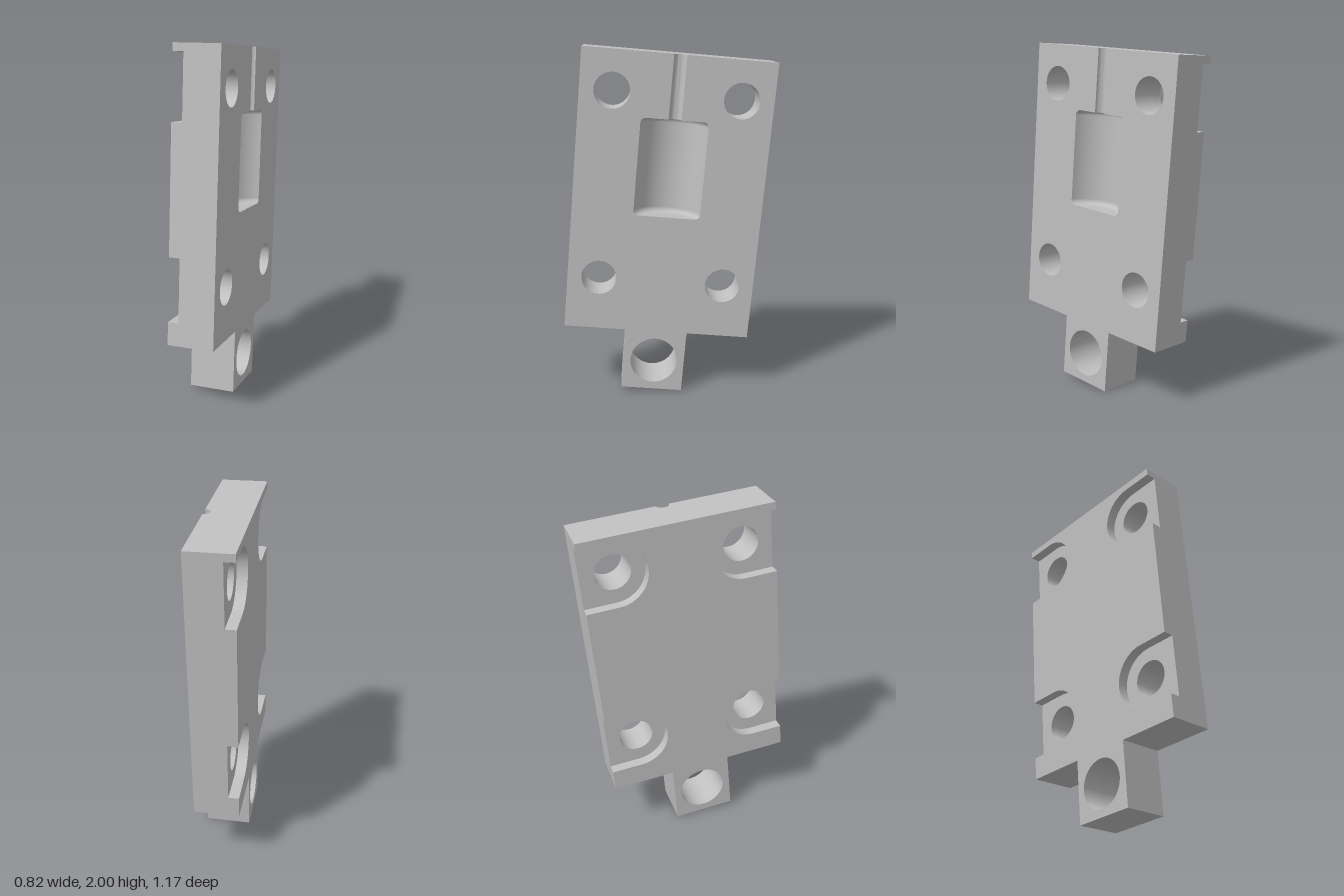
import * as THREE from 'three';
import { toCreasedNormals } from 'three/addons/utils/BufferGeometryUtils.js';

const W = 0.532, H = 0.792;              // plate half width and half height
const TAB = 0.177, TAB_END = -1.153;     // tab half width and lower end
const FRONT = 0.13, BACK = -0.13;        // plate faces
const RECESS = -0.07, POCKET_BASE = -0.02;
const HOLE_X = 0.354, HOLE_Y = [-0.487, 0.572];
const HOLE_R = 0.099, SEAT_R = 0.177;
const GROOVE = 0.036;                    // groove radius
const R = 0.196, OFF = 0.056, FILLET = 0.03, P_TOP = 0.44, P_LOW = -0.108;

// Pocket profile: radius and height, with rounded ends
function pocketProfile() {
  const pts = [];
  const n = 6;
  for (let i = 0; i <= n; i++) {
    const a = (i / n) * Math.PI / 2;
    pts.push([R - FILLET + FILLET * Math.sin(a), P_TOP - FILLET + FILLET * Math.cos(a)]);
  }
  for (let i = 0; i <= n; i++) {
    const a = (i / n) * Math.PI / 2;
    pts.push([R - FILLET + FILLET * Math.cos(a), P_LOW + FILLET - FILLET * Math.sin(a)]);
  }
  return pts;
}

// Plate and tab outline, optionally with side seats or the top pocket opening
function outline({ seats = false, pocket = false, holes = true }) {
  const s = new THREE.Shape();
  s.moveTo(-TAB, TAB_END);
  s.lineTo(TAB, TAB_END);
  s.lineTo(TAB, -H);
  s.lineTo(W, -H);
  if (seats) {
    for (const y of HOLE_Y) {
      s.lineTo(W, y - SEAT_R);
      s.lineTo(HOLE_X, y - SEAT_R);
      s.absarc(HOLE_X, y, SEAT_R, -Math.PI / 2, -Math.PI * 1.5, true);
      s.lineTo(W, y + SEAT_R);
    }
  }
  s.lineTo(W, H);
  if (pocket) {
    const edge = pocketProfile().map(([r, y]) => [Math.sqrt(r * r - OFF * OFF), y]);
    s.lineTo(GROOVE, H);
    s.lineTo(GROOVE, P_TOP);
    edge.forEach(([x, y]) => s.lineTo(x, y));
    edge.reverse().forEach(([x, y]) => s.lineTo(-x, y));
    s.lineTo(-GROOVE, P_TOP);
    s.lineTo(-GROOVE, H);
  }
  s.lineTo(-W, H);
  if (seats) {
    for (const y of [...HOLE_Y].reverse()) {
      s.lineTo(-W, y + SEAT_R);
      s.lineTo(-HOLE_X, y + SEAT_R);
      s.absarc(-HOLE_X, y, SEAT_R, Math.PI / 2, -Math.PI / 2, true);
      s.lineTo(-W, y - SEAT_R);
    }
  }
  s.lineTo(-W, -H);
  s.lineTo(-TAB, -H);
  s.closePath();

  const addHole = (x, y, r) => {
    const p = new THREE.Path();
    p.absarc(x, y, r, 0, Math.PI * 2, true);
    s.holes.push(p);
  };
  addHole(0, -0.974, 0.136);
  if (holes) for (const y of HOLE_Y) for (const x of [-HOLE_X, HOLE_X]) addHole(x, y, HOLE_R);
  return s;
}

function extrude(shape, depth) {
  const g = new THREE.ExtrudeGeometry(shape, { depth, bevelEnabled: false, curveSegments: 24 });
  return toCreasedNormals(g, 0.5);
}

export function createModel() {
  const model = new THREE.Group();
  model.name = 'mountingPlate';
  const metal = new THREE.MeshStandardMaterial({ color: 0xc0c0c0 });
  metal.name = 'light grey metal';

  const body = new THREE.Group();
  body.name = 'tiltedBody';
  body.rotation.set(0, Math.PI / 3, -5 * Math.PI / 180, 'YXZ');
  body.position.y = 1.165;
  model.add(body);

  const add = (name, geometry) => {
    const m = new THREE.Mesh(geometry, metal);
    m.name = name;
    body.add(m);
    return m;
  };

  // Three layers of the plate, from back to front
  add('backLayerWithSeats', extrude(outline({ seats: true, holes: false }), RECESS - BACK))
    .position.z = BACK;
  add('middleLayer', extrude(outline({}), POCKET_BASE - RECESS)).position.z = RECESS;
  add('frontLayer', extrude(outline({ pocket: true }), FRONT - POCKET_BASE)).position.z = POCKET_BASE;

  // Round-bottomed groove running from the pocket to the top edge
  const g = new THREE.Shape();
  g.moveTo(-GROOVE, -FRONT);
  g.absarc(0, -FRONT, GROOVE, Math.PI, 0, true);
  g.lineTo(GROOVE, -POCKET_BASE);
  g.lineTo(-GROOVE, -POCKET_BASE);
  g.closePath();
  const groove = add('groove', extrude(g, H - P_TOP));
  groove.rotation.x = -Math.PI / 2;
  groove.position.y = P_TOP;

  // Concave pocket floor with filleted ends
  const profile = pocketProfile();
  const cols = 28;
  const floor = new THREE.PlaneGeometry(1, 1, cols, profile.length - 1);
  const pos = floor.attributes.position;
  profile.forEach(([r, y], row) => {
    const half = Math.acos(OFF / r);
    for (let c = 0; c <= cols; c++) {
      const t = half * (2 * c / cols - 1);
      pos.setXYZ(row * (cols + 1) + c, r * Math.sin(t), y, FRONT + OFF - r * Math.cos(t));
    }
  });
  floor.computeVertexNormals();
  add('pocketFloor', floor);

  return model;
}
